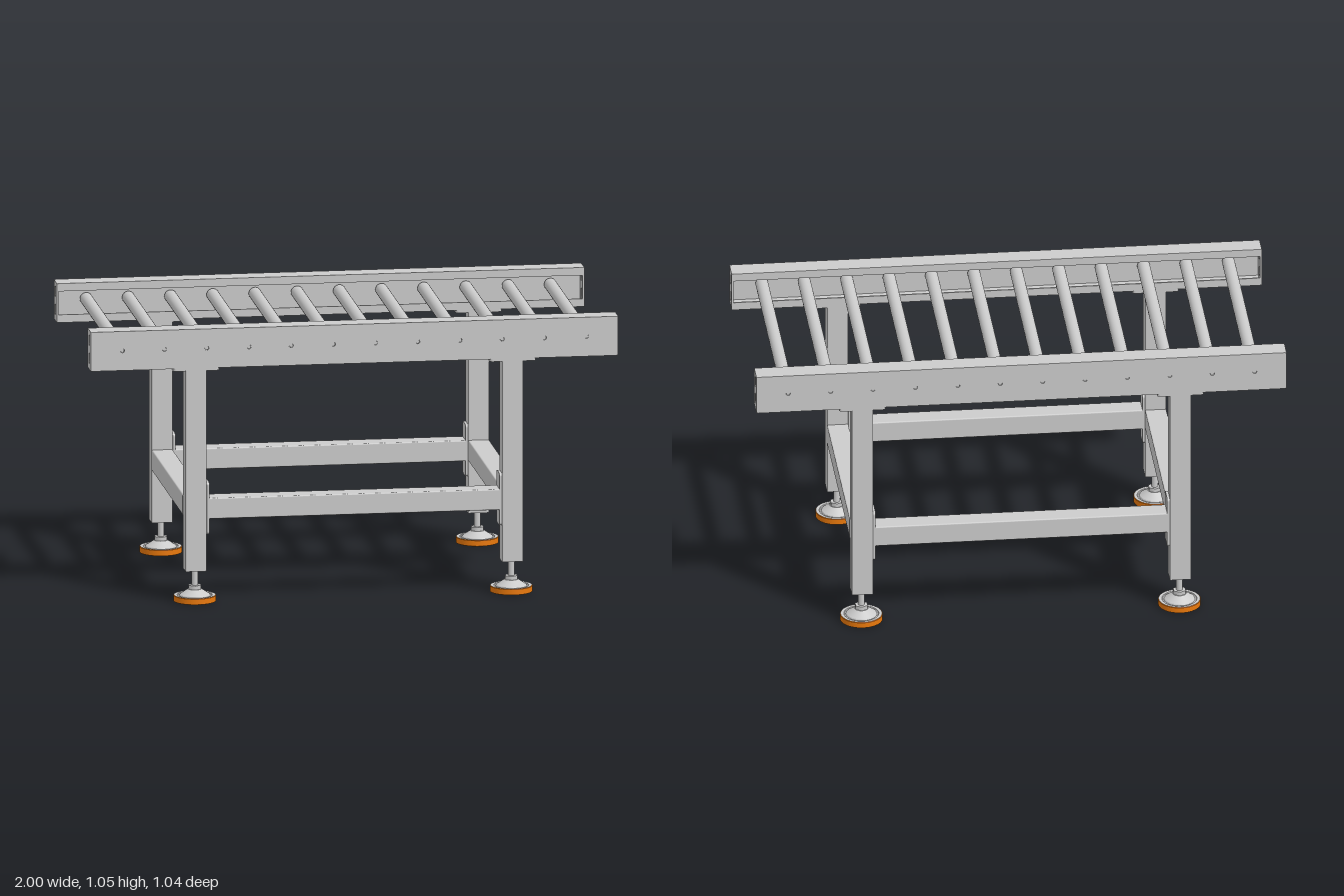
import * as THREE from 'three';

const grey = new THREE.MeshStandardMaterial({ color: 0xcccccc });
const orange = new THREE.MeshStandardMaterial({ color: 0xe8780c });

function add(parent, name, geometry, x = 0, y = 0, z = 0, material = grey) {
  const mesh = new THREE.Mesh(geometry, material);
  mesh.name = name;
  mesh.position.set(x, y, z);
  parent.add(mesh);
  return mesh;
}

// Rounded rectangle centred on (cx, cy); also used for slots
function roundRect(target, w, h, r, cx = 0, cy = 0) {
  const x = w / 2 - r, y = h / 2 - r, q = Math.PI / 2;
  target.absarc(cx + x, cy + y, r, 0, q);
  target.absarc(cx - x, cy + y, r, q, 2 * q);
  target.absarc(cx - x, cy - y, r, 2 * q, 3 * q);
  target.absarc(cx + x, cy - y, r, 3 * q, 4 * q);
  target.closePath();
  return target;
}

// Rounded plate or bar in the XY plane, extruded centred along z
function plate(w, h, depth, r, holes = []) {
  const shape = roundRect(new THREE.Shape(), w, h, r);
  shape.holes.push(...holes);
  return new THREE.ExtrudeGeometry(shape, { depth, bevelEnabled: false, curveSegments: 6 })
    .translate(0, 0, -depth / 2);
}

const slot = (w, h, cx, cy) => roundRect(new THREE.Path(), w, h, Math.min(w, h) / 2 - 0.0001, cx, cy);

const ROLLERS = Array.from({ length: 12 }, (_, i) => -0.88 + i * 0.16);
const ROLLER_Y = 0.976, RAIL_Y = 0.975, RAIL_Z = 0.44, LEG_X = 0.6;

// C-channel rail, outer web towards +z, open with lips towards -z
function makeRail() {
  const rail = new THREE.Group();
  const t = 0.006, length = 2 - 2 * t;
  const web = new THREE.Shape([[-1, -1], [1, -1], [1, 1], [-1, 1]]
    .map(([x, y]) => new THREE.Vector2(x * length / 2, y * 0.075)));
  for (const x of ROLLERS) {
    web.holes.push(new THREE.Path().absarc(x, ROLLER_Y - RAIL_Y, 0.008, 0, Math.PI * 2));
  }
  add(rail, 'railWeb', new THREE.ExtrudeGeometry(web, { depth: t, bevelEnabled: false, curveSegments: 8 }), 0, 0, 0.04 - t);
  for (const s of [-1, 1]) {
    add(rail, 'railFlange', new THREE.BoxGeometry(length, t, 0.08 - t), 0, s * (0.075 - t / 2), -t / 2);
    add(rail, 'railLip', new THREE.BoxGeometry(length, 0.03 - t, t), 0, s * (0.06 - t / 2), -0.04 + t / 2);
    const end = plate(0.08, 0.15, t, 0.002, [slot(0.02, 0.041, 0, 0.037), slot(0.02, 0.041, 0, -0.032)]);
    add(rail, 'railEndPlate', end.rotateY(Math.PI / 2), s * (1 - t / 2), 0, 0);
  }
  return rail;
}

// Levelling foot standing on y = 0
function makeFoot() {
  const foot = new THREE.Group();
  const lathe = (pts) => new THREE.LatheGeometry(pts.map(p => new THREE.Vector2(...p)), 40);
  // Repeated points keep the edges of the profile crisp
  const profile = [[0.0785, 0.0235], [0.066, 0.0235], [0.066, 0.0235], [0.064, 0.021], [0.064, 0.021],
    [0.059, 0.021], [0.059, 0.021], [0.056, 0.026], [0.056, 0.026], [0.03, 0.043], [0.03, 0.043],
    [0.026, 0.046], [0.026, 0.046], [0, 0.046]];
  add(foot, 'footBase', lathe(profile));
  add(foot, 'footSole', new THREE.CylinderGeometry(0.079, 0.079, 0.02, 40), 0, 0.0105, 0);
  add(foot, 'footRubberBand', lathe([[0.078, 0], [0.08, 0.001], [0.08, 0.001], [0.08, 0.022],
    [0.08, 0.022], [0.078, 0.024]]), 0, 0, 0, orange);
  add(foot, 'footNut', new THREE.CylinderGeometry(0.026, 0.026, 0.016, 6), 0, 0.053, 0);
  add(foot, 'footSpindle', new THREE.CylinderGeometry(0.012, 0.012, 0.09, 20), 0, 0.085, 0);
  return foot;
}

// Square leg with slotted mounting plate and beam bracket
function makeLeg(side) {
  const leg = new THREE.Group();
  add(leg, 'legPost', plate(0.08, 0.08, 0.77, 0.005).rotateX(Math.PI / 2), 0, 0.505, 0);
  const top = plate(0.175, 0.08, 0.01, 0.012, [-1, 1].map(s => slot(0.02, 0.042, s * 0.063, 0)));
  add(leg, 'legTopPlate', top.rotateX(Math.PI / 2), 0, 0.895, 0);
  add(leg, 'beamBracket', plate(0.078, 0.2, 0.01, 0.012).rotateY(Math.PI / 2), -side * 0.045, 0.36, 0);
  const foot = makeFoot();
  foot.name = 'levellingFoot';
  leg.add(foot);
  return leg;
}

export function createModel() {
  const model = new THREE.Group();
  model.name = 'rollerConveyor';

  // Side rails
  for (const s of [1, -1]) {
    const rail = makeRail();
    rail.name = s > 0 ? 'frontRail' : 'backRail';
    rail.position.set(0, RAIL_Y, s * RAIL_Z);
    rail.rotation.y = s > 0 ? 0 : Math.PI;
    model.add(rail);
  }

  // Rollers and their shafts
  for (const x of ROLLERS) {
    add(model, 'roller', new THREE.CylinderGeometry(0.024, 0.024, 0.92, 28).rotateX(Math.PI / 2), x, ROLLER_Y, 0);
    add(model, 'rollerShaft', new THREE.CylinderGeometry(0.0075, 0.0075, 0.952, 12).rotateX(Math.PI / 2), x, ROLLER_Y, 0);
  }

  // Legs
  for (const sx of [-1, 1]) {
    for (const sz of [-1, 1]) {
      const leg = makeLeg(sx);
      leg.name = (sz > 0 ? 'front' : 'back') + (sx > 0 ? 'Left' : 'Right') + 'Leg';
      leg.position.set(sx * LEG_X, 0, sz * RAIL_Z);
      model.add(leg);
    }
  }

  // Lower frame beams
  for (const s of [-1, 1]) {
    add(model, 'longBeam', plate(0.08, 0.08, 1.1, 0.005).rotateY(Math.PI / 2), 0, 0.36, s * RAIL_Z);
    add(model, 'crossBeam', plate(0.08, 0.08, 0.8, 0.005), s * LEG_X, 0.36, 0);
  }
  return model;
}
